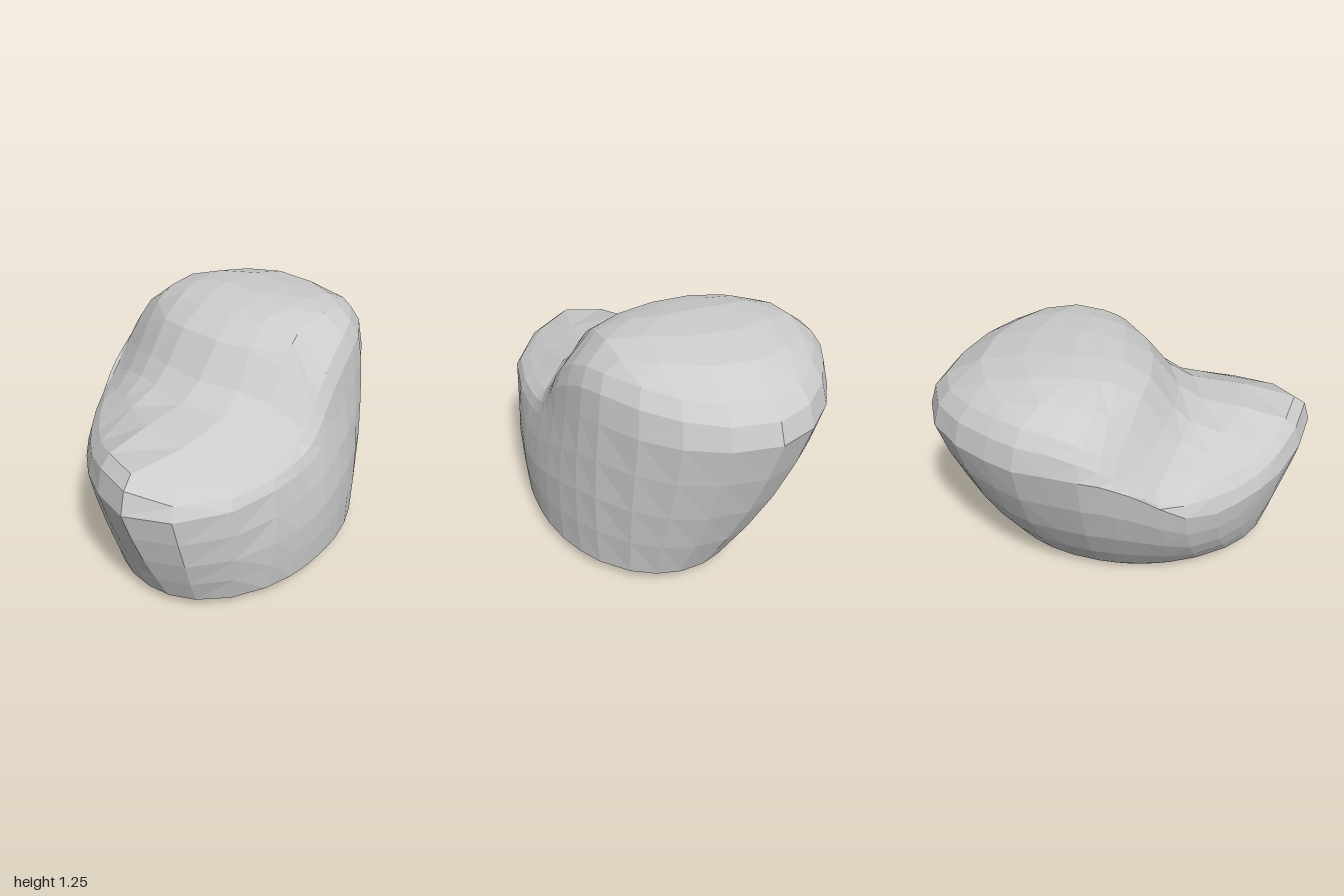
import * as THREE from 'three';

const { smoothstep, mapLinear, lerp } = THREE.MathUtils;

// Widest outline of the boulder seen from above (x, z), in order of angle
const OUTLINE = [
  [-0.74, -0.16], [-0.69, -0.47], [-0.56, -0.73], [-0.38, -0.92], [-0.16, -1], [0.05, -0.97],
  [0.26, -0.86], [0.43, -0.7], [0.56, -0.48], [0.63, -0.22], [0.67, 0], [0.69, 0.23],
  [0.69, 0.44], [0.65, 0.65], [0.56, 0.84], [0.43, 0.96], [0.3, 1], [0.13, 0.96],
  [-0.02, 0.9], [-0.22, 0.77], [-0.4, 0.6], [-0.57, 0.4], [-0.66, 0.2], [-0.71, 0],
];
// Height of the top along z: high back, step, low ledge in front
const PROFILE = [
  [-1, 1.21], [-0.7, 1.25], [-0.4, 1.26], [-0.2, 1.255], [0, 1.21], [0.13, 1.13],
  [0.27, 0.95], [0.4, 0.865], [0.7, 0.83], [1, 0.825],
];
// Grid lines of the top, closer together at the step
const U = [-1, -0.77, -0.5, -0.226, 0.1, 0.406, 0.7, 1];
const V = [-1, -0.8, -0.56, -0.3, -0.12, 0, 0.15, 0.3, 0.44, 0.7, 1];
const GRID_RADIUS = 0.9;

function profileHeight(z) {
  const k = PROFILE.findIndex((p) => p[0] >= z);
  if (k === 0) return PROFILE[0][1];
  if (k < 0) return PROFILE[PROFILE.length - 1][1];
  const [a, b] = [PROFILE[k - 1], PROFILE[k]];
  return mapLinear(z, a[0], b[0], a[1], b[1]);
}

// Where a ray from the centre meets the outline
function outlinePoint(angle) {
  const c = Math.cos(angle), s = Math.sin(angle);
  for (let i = 0; i < OUTLINE.length; i++) {
    const [ax, az] = OUTLINE[i], [bx, bz] = OUTLINE[(i + 1) % OUTLINE.length];
    const da = c * az - s * ax, db = c * bz - s * bx;
    if (da <= 0 && db > 0) {
      const t = da / (da - db);
      const x = ax + (bx - ax) * t, z = az + (bz - az) * t;
      if (x * c + z * s > 0) return [x, z];
    }
  }
  return OUTLINE[0];
}

// The step curves backwards at both sides
const stepBend = (x) => 0.6 * (x + 0.05) ** 2;

// Widest line: rises from the front to the back, dips at the front right
function bellyHeight(x, z) {
  const dip = (1 - smoothstep(x, -0.2, 0.25)) * smoothstep(z, 0.1, 0.45);
  return 0.63 + 0.29 * (1 - smoothstep(z + 0.25 * x, -0.4, 0.35)) - 0.06 * dip;
}

// Point of the top at a share r of the outline; rows near the step follow its curve
function topPoint(angle, r, row = 0, follow = 0) {
  const [ox, oz] = outlinePoint(angle);
  const x = ox * r, z = lerp(oz * r, row - stepBend(x), follow);
  const across = z + stepBend(x);
  const ledge = smoothstep(across, 0.15, 0.42);
  const slope = 0.22 * Math.max(0, -x) + 0.2 * Math.max(0, x - 0.3)
    + 0.2 * Math.max(0, 0.1 - x) * smoothstep(z, 0.4, 0.8);
  const height = profileHeight(across) - ledge * slope;
  const belly = bellyHeight(ox, oz);
  // tight rim at the front, fuller shoulder at the back left
  const power = 4 + 7 * ledge * (1 - smoothstep(x, 0.35, 0.55))
    + 1.5 * (1 - ledge) * smoothstep(x, 0.1, 0.4);
  return [x, belly + (height - belly) * Math.sqrt(1 - r ** power), z];
}

// Foot outline: an ellipse set towards the left, fuller at the front left
function footPoint(angle, scale, y) {
  const c = Math.cos(angle), s = Math.sin(angle);
  const k = scale * (1 + 0.08 * Math.max(0, c) * Math.max(0, s));
  return [0.18 + k * (0.55 * c + 0.02 * s), y, 0.035 + k * 0.765 * s];
}

function boulderGeometry() {
  const points = [], index = [], rim = [];
  const add = (p) => points.push(new THREE.Vector3(...p)) - 1;
  // Split each quad along its shorter diagonal
  const quad = (a, b, c, d) => {
    if (points[a].distanceTo(points[c]) < points[b].distanceTo(points[d])) index.push(a, b, c, a, c, d);
    else index.push(a, b, d, b, c, d);
  };

  // Top surface: a square grid rounded into a disc
  const grid = V.map((v, j) => U.map((u, i) => {
    const dx = u * Math.sqrt(1 - v * v / 2), dz = v * Math.sqrt(1 - u * u / 2);
    const d = Math.min(1, Math.hypot(dx, dz)), angle = Math.atan2(dz, dx);
    const follow = (1 - d ** 2) * Math.exp(-(((v - 0.2) / 0.35) ** 2));
    const id = add(topPoint(angle, d * GRID_RADIUS, v * 0.92, follow));
    if (i === 0 || j === 0 || i === U.length - 1 || j === V.length - 1) rim.push({ id, angle });
    return id;
  }));
  for (let j = 0; j < V.length - 1; j++) {
    for (let i = 0; i < U.length - 1; i++) {
      quad(grid[j][i], grid[j + 1][i], grid[j + 1][i + 1], grid[j][i + 1]);
    }
  }

  // Rounded foot, bulging walls and shoulder, as rings from the bottom up
  rim.sort((a, b) => a.angle - b.angle);
  const rings = [[0.82, 0.01], [0.94, 0.025], [1, 0.06]].map(
    ([scale, y]) => rim.map((q) => add(footPoint(q.angle, scale, y))));
  for (const t of [0.25, 0.5, 0.76]) {
    const f = t * (1.4 - 0.4 * t);
    rings.push(rim.map(({ angle }) => {
      const a = footPoint(angle, 1, 0.06), b = topPoint(angle, 1);
      const bulge = 0.035 * Math.cos(angle) * Math.sin(Math.PI * t);
      return add([lerp(a[0], b[0], f) + bulge, lerp(a[1], b[1], t), lerp(a[2], b[2], f)]);
    }));
  }
  for (const r of [1, 0.965]) rings.push(rim.map((q) => add(topPoint(q.angle, r))));
  rings.push(rim.map((q) => q.id));

  const n = rim.length, centre = add([0.18, 0, 0.035]);
  for (let i = 0; i < n; i++) {
    const j = (i + 1) % n;
    index.push(centre, rings[0][i], rings[0][j]);
    for (let k = 0; k < rings.length - 1; k++) {
      quad(rings[k][i], rings[k + 1][i], rings[k + 1][j], rings[k][j]);
    }
  }

  const geometry = new THREE.BufferGeometry().setFromPoints(points);
  geometry.setIndex(index);
  geometry.computeVertexNormals();
  return geometry;
}

export function createModel() {
  const group = new THREE.Group();
  group.name = 'rock';
  const material = new THREE.MeshStandardMaterial({ color: 0xcccccc, flatShading: true });
  const boulder = new THREE.Mesh(boulderGeometry(), material);
  boulder.name = 'boulder';
  group.add(boulder);
  return group;
}
